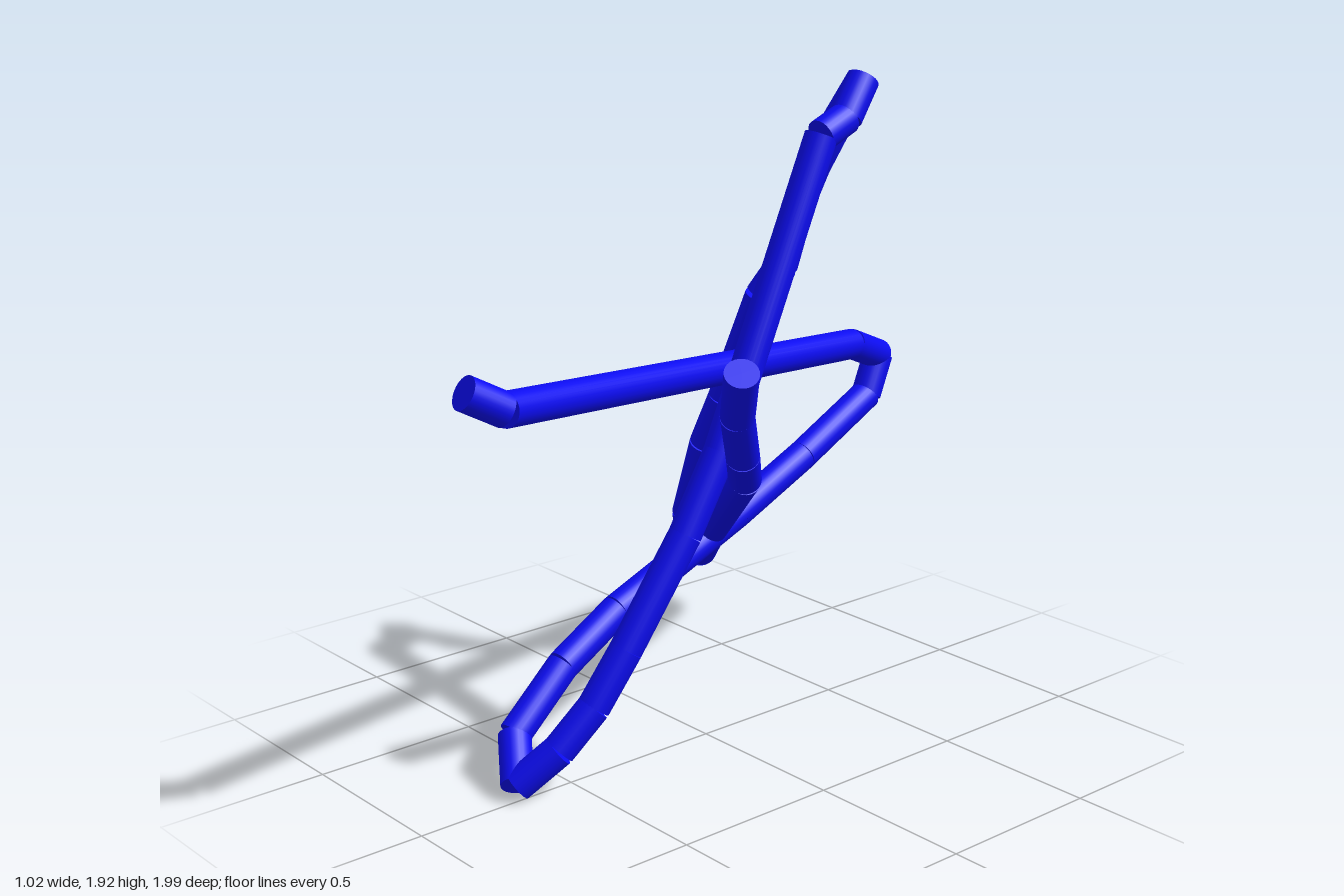
import * as THREE from 'three';

const RADIUS = 0.047;

// Bend points of the rod, from one free end to the other
const PATH = [
  // long bar running front to back
  [0.22, 1.27, 0.97], [0.235, 1.21, 0.86], [-0.22, 1.02, -0.79], [-0.27, 0.95, -0.96],
  // lower run back to the foot
  [-0.26, 0.83, -0.9], [-0.215, 0.7, -0.58], [-0.195, 0.58, -0.29], [-0.165, 0.4, 0.2],
  [-0.148, 0.29, 0.41], [-0.125, 0.14, 0.6], [-0.02, 0.045, 0.67],
  // tall run up to the peak
  [0.04, 0.14, 0.57], [0.07, 0.25, 0.47], [0.09, 0.4, 0.37], [0.12, 0.7, 0.18],
  [0.13, 0.92, 0.06], [0.13, 1.76, -0.31], [0.125, 1.8, -0.41], [0.11, 1.9, -0.49],
  // run down to the low side corner
  [0.04, 1.75, -0.44], [0, 1.65, -0.41], [-0.04, 1.54, -0.39], [-0.085, 1.35, -0.365],
  [-0.13, 1.26, -0.325], [-0.26, 0.93, -0.295], [-0.34, 0.77, -0.29],
  [-0.46, 0.51, -0.32], [-0.45, 0.4, -0.33],
  // last run up to the other free end
  [-0.33, 0.43, -0.265], [-0.18, 0.56, -0.18], [0.2, 0.85, 0.03],
  [0.28, 0.95, 0.11], [0.37, 1.1, 0.21], [0.47, 1.25, 0.285],
].map((p) => new THREE.Vector3(...p));

const UP = new THREE.Vector3(0, 1, 0);

// Straight capped cylinder between two bend points
function rodSegment(a, b, material) {
  const dir = b.clone().sub(a);
  const mesh = new THREE.Mesh(
    new THREE.CylinderGeometry(RADIUS, RADIUS, dir.length(), 24), material);
  mesh.position.copy(a).add(b).multiplyScalar(0.5);
  mesh.quaternion.setFromUnitVectors(UP, dir.normalize());
  return mesh;
}

export function createModel() {
  const model = new THREE.Group();
  model.name = 'bentRodStar';
  const blue = new THREE.MeshStandardMaterial({ color: 0x0c0cf0 });
  for (let i = 0; i < PATH.length - 1; i++) {
    const segment = rodSegment(PATH[i], PATH[i + 1], blue);
    segment.name = `rodSegment${i + 1}`;
    model.add(segment);
  }
  return model;
}
